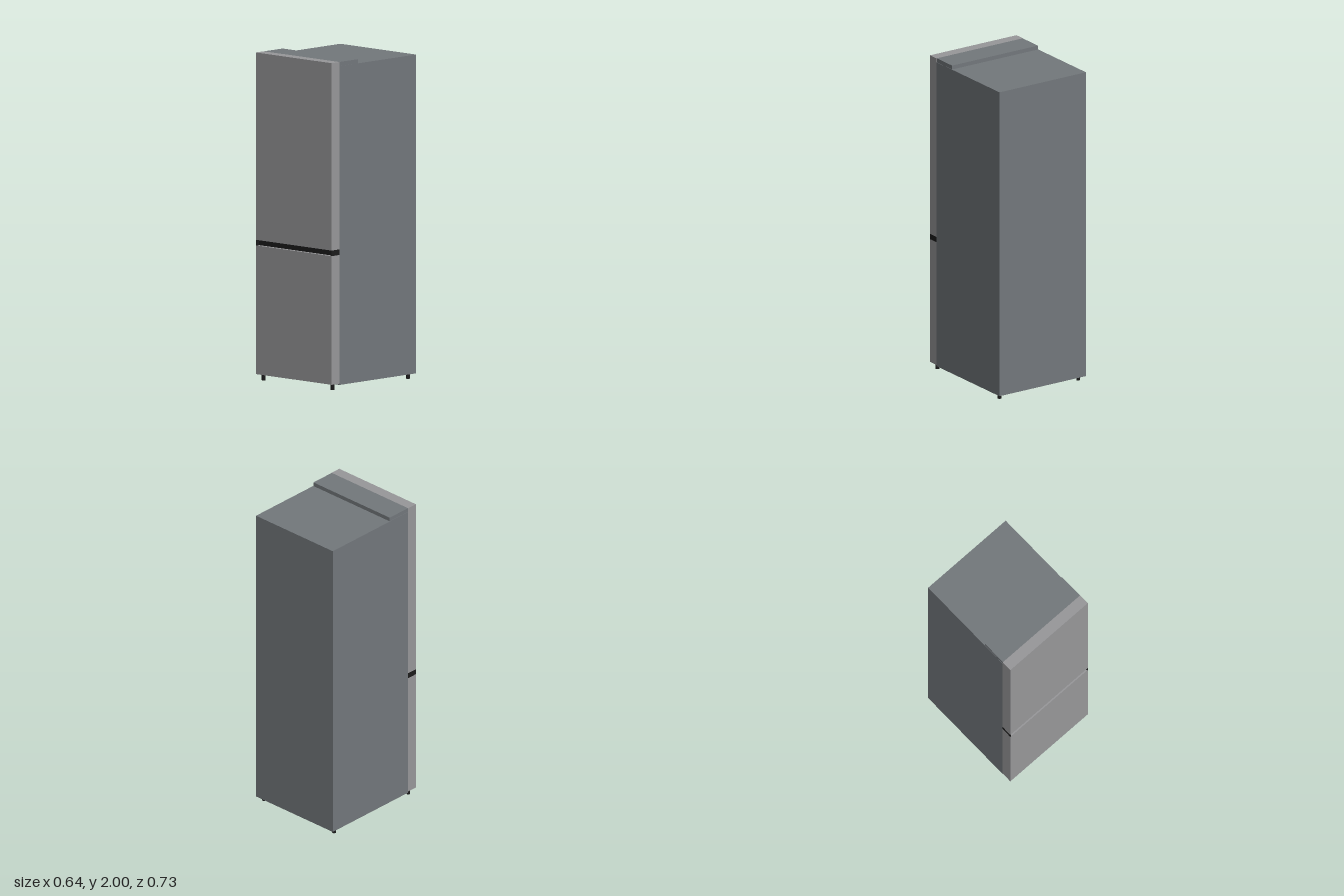
import * as THREE from 'three';

export function createModel() {
  const group = new THREE.Group();
  const mat = (name, color) => {
    const m = new THREE.MeshStandardMaterial({ color });
    m.name = name;
    return m;
  };
  const cabinetGrey = mat('cabinet grey', 0x73787c);
  const doorSilver = mat('door silver', 0x98989a);
  const black = mat('black plastic', 0x1c1c1c);

  // Box given by its minimum and maximum on each axis
  const box = (name, material, [x0, x1], [y0, y1], [z0, z1]) => {
    const mesh = new THREE.Mesh(new THREE.BoxGeometry(x1 - x0, y1 - y0, z1 - z0), material);
    mesh.position.set((x0 + x1) / 2, (y0 + y1) / 2, (z0 + z1) / 2);
    mesh.name = name;
    group.add(mesh);
  };

  const W = 0.318;
  const full = [-W, W];
  const doorZ = [0.298, 0.366];

  // Cabinet and the raised hinge cover on top of it
  box('cabinet', cabinetGrey, full, [0.03, 1.975], [-0.366, 0.298]);
  box('hingeCover', cabinetGrey, [-W + 0.002, W - 0.002], [1.975, 2], [0.137, 0.298]);

  // Doors
  box('upperDoor', doorSilver, full, [0.857, 2], doorZ);
  box('lowerDoor', doorSilver, full, [0.038, 0.823], doorZ);

  // Recessed grip between the doors, closed by caps at both ends
  box('gripRecess', black, [-W + 0.006, W - 0.006], [0.823, 0.857], [0.298, 0.345]);
  for (const s of [-1, 1]) {
    const x = [s * W, s * (W - 0.006)].sort((a, b) => a - b);
    box('gripEndCap', black, x, [0.823, 0.857], doorZ);
  }

  // Four feet; the front pair reaches up to the raised door edge
  for (const x of [-0.29, 0.29]) {
    for (const [z, h] of [[0.328, 0.038], [-0.325, 0.03]]) {
      const foot = new THREE.Mesh(new THREE.CylinderGeometry(0.012, 0.012, h, 16), black);
      foot.position.set(x, h / 2, z);
      foot.name = 'foot';
      group.add(foot);
    }
  }
  return group;
}
